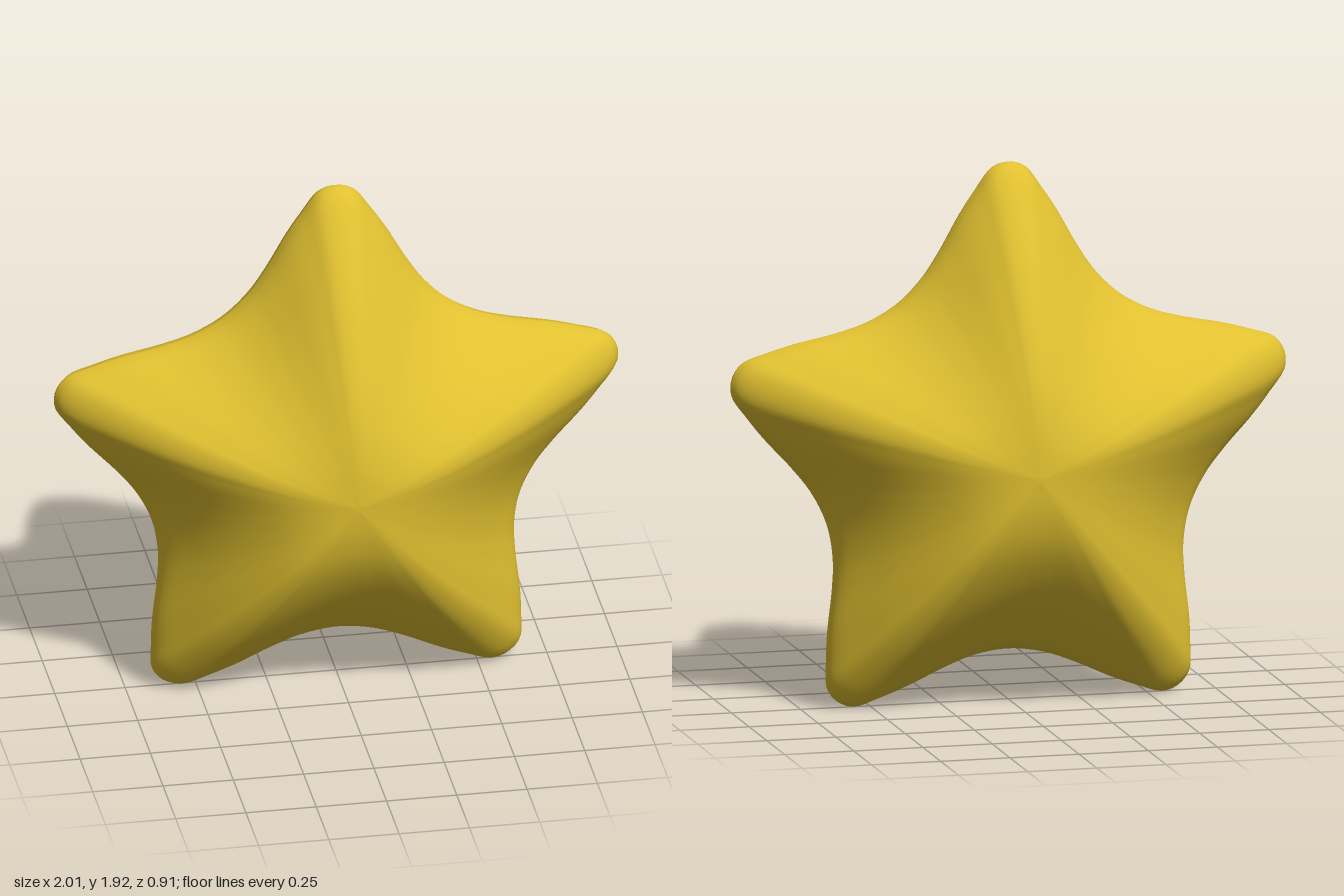
import * as THREE from 'three';
import { mergeVertices } from 'three/addons/utils/BufferGeometryUtils.js';

const ARMS = 5;
const CENTRE_Y = 0.86;
const MEAN_RADIUS = 0.87;

// Half an arm outline, tip to valley: [half width, distance from the centre]
const HALF_ARM = [[0, 1.05], [0.06, 1.032], [0.12, 0.955], [0.175, 0.872],
  [0.25, 0.74], [0.315, 0.645], [0.406, 0.558]];

// Puffy profile, centre to rim: [fraction of the radius, half thickness]
const PROFILE = [[0, 0.455], [0.17, 0.44], [0.343, 0.4], [0.535, 0.322],
  [0.722, 0.222], [0.902, 0.103], [0.975, 0.043], [1, 0]];

// Closed five-armed outline, clockwise from the top tip
function starOutline(count) {
  const left = HALF_ARM.slice(1, -1).reverse().map(([u, r]) => [-u, r]);
  const points = [];
  for (let k = 0; k < ARMS; k++) {
    const a = (k * 2 * Math.PI) / ARMS, c = Math.cos(a), s = Math.sin(a);
    for (const [u, r] of [...left, ...HALF_ARM]) {
      points.push(new THREE.Vector3(u * c + r * s, r * c - u * s, 0));
    }
  }
  return new THREE.CatmullRomCurve3(points, true, 'centripetal').getSpacedPoints(count).slice(0, count);
}

// Rings from the front pole over the rim to the back pole
function starGeometry(around = 300, rings = 72) {
  const outline = starOutline(around);
  const back = PROFILE.slice(0, -1).reverse().map(([t, z]) => [2 - t, -z]);
  const profile = new THREE.SplineCurve([...PROFILE, ...back].map(([t, z]) => new THREE.Vector2(t, z)));
  const positions = [], index = [];
  for (let j = 0; j <= rings; j++) {
    const p = profile.getPoint(j / rings);
    const t = j === 0 || j === rings ? 0 : 1 - Math.abs(1 - p.x);
    for (const o of outline) {
      // Arms fade towards a circle near the centre
      const radius = o.length();
      const r = t * (MEAN_RADIUS + (radius - MEAN_RADIUS) * (0.5 + 0.5 * t));
      positions.push((o.x / radius) * r, CENTRE_Y + (o.y / radius) * r, p.y);
    }
  }
  for (let j = 0; j < rings; j++) {
    for (let i = 0; i < around; i++) {
      const n = (i + 1) % around;
      const a = j * around + i, b = j * around + n;
      const c = a + around, d = b + around;
      if (j < rings - 1) index.push(a, d, c);
      if (j > 0) index.push(a, b, d);
    }
  }
  const geometry = new THREE.BufferGeometry();
  geometry.setAttribute('position', new THREE.Float32BufferAttribute(positions, 3));
  geometry.setIndex(index);
  const welded = mergeVertices(geometry, 1e-5);
  welded.computeVertexNormals();
  return welded;
}

export function createModel() {
  const group = new THREE.Group();
  group.name = 'puffyStar';
  const star = new THREE.Mesh(starGeometry(), new THREE.MeshStandardMaterial({ color: 0xe0c030 }));
  star.name = 'starBody';
  group.add(star);
  return group;
}
